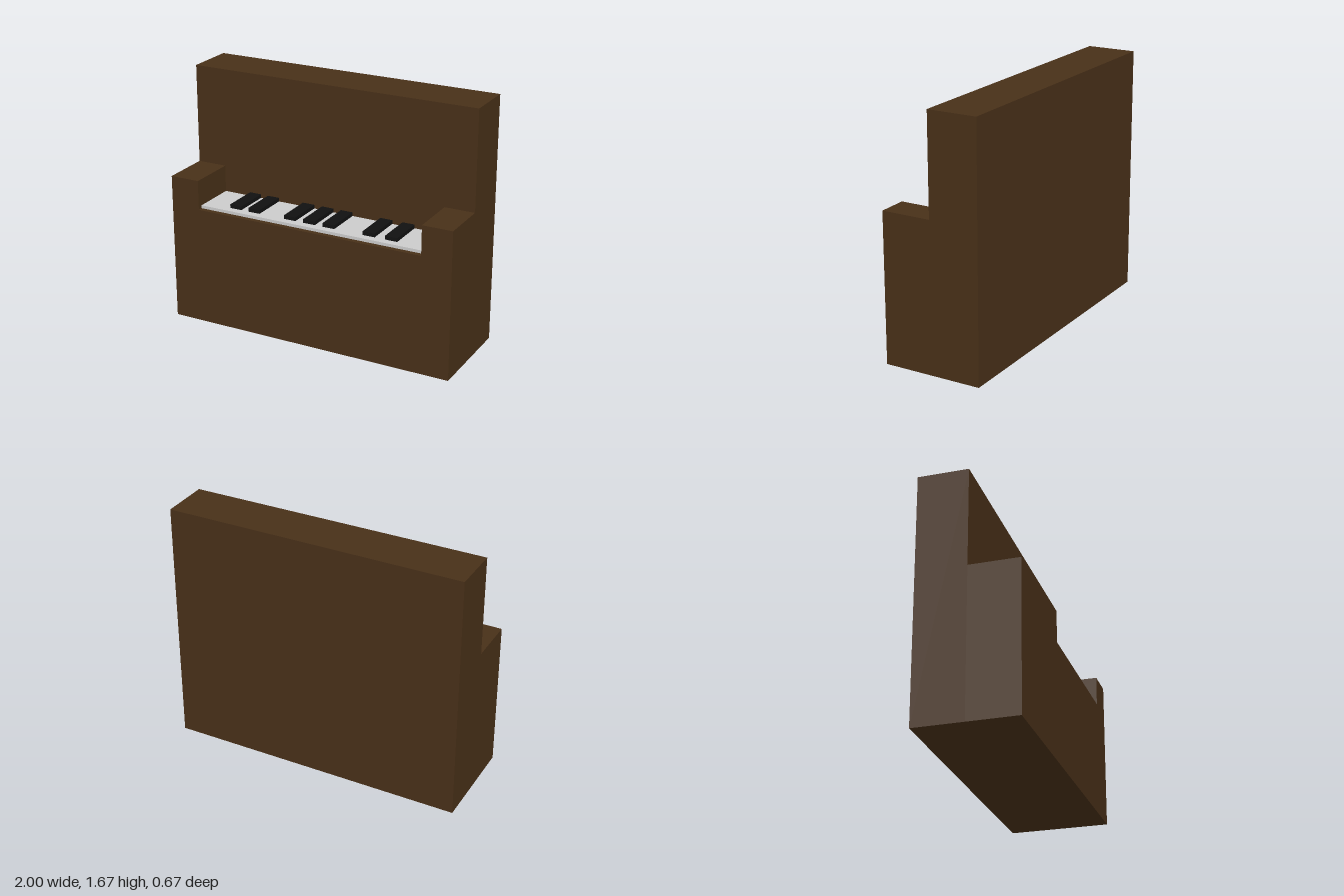
import * as THREE from 'three';

const DEPTH = 1 / 3; // depth of the tall back and of the front ledge

const wood = new THREE.MeshStandardMaterial({ color: 0x483018 });
const ivory = new THREE.MeshStandardMaterial({ color: 0xcccccc });
const ebony = new THREE.MeshStandardMaterial({ color: 0x111111 });

// Box placed by its centre x, bottom y and back z
function box(name, material, [w, h, d], [x, y, z]) {
  const mesh = new THREE.Mesh(new THREE.BoxGeometry(w, h, d), material);
  mesh.position.set(x, y + h / 2, z + d / 2);
  mesh.name = name;
  return mesh;
}

export function createModel() {
  const piano = new THREE.Group();
  piano.name = 'uprightPiano';

  // Tall cabinet at the back
  piano.add(box('backCabinet', wood, [2, 1.667, DEPTH], [0, 0, -DEPTH]));

  // Front cabinet: U-shaped outline with a cheek on each side of the key bed
  const outline = new THREE.Shape([
    [-1, 0], [1, 0], [1, 1], [0.797, 1], [0.797, 0.8],
    [-0.797, 0.8], [-0.797, 1], [-1, 1],
  ].map(([x, y]) => new THREE.Vector2(x, y)));
  const front = new THREE.Mesh(
    new THREE.ExtrudeGeometry(outline, { depth: DEPTH, bevelEnabled: false }), wood);
  front.name = 'frontCabinet';
  piano.add(front);

  // Keyboard: one white slab with black keys in groups of two, three and two
  const keyboard = new THREE.Group();
  keyboard.name = 'keyboard';
  keyboard.add(box('whiteKeys', ivory, [1.594, 0.02, 0.3], [0, 0.8, 0]));
  for (const x of [-0.565, -0.428, -0.163, -0.022, 0.117, 0.4, 0.555]) {
    keyboard.add(box('blackKey', ebony, [0.084, 0.025, 0.25], [x, 0.82, 0]));
  }
  piano.add(keyboard);

  return piano;
}
